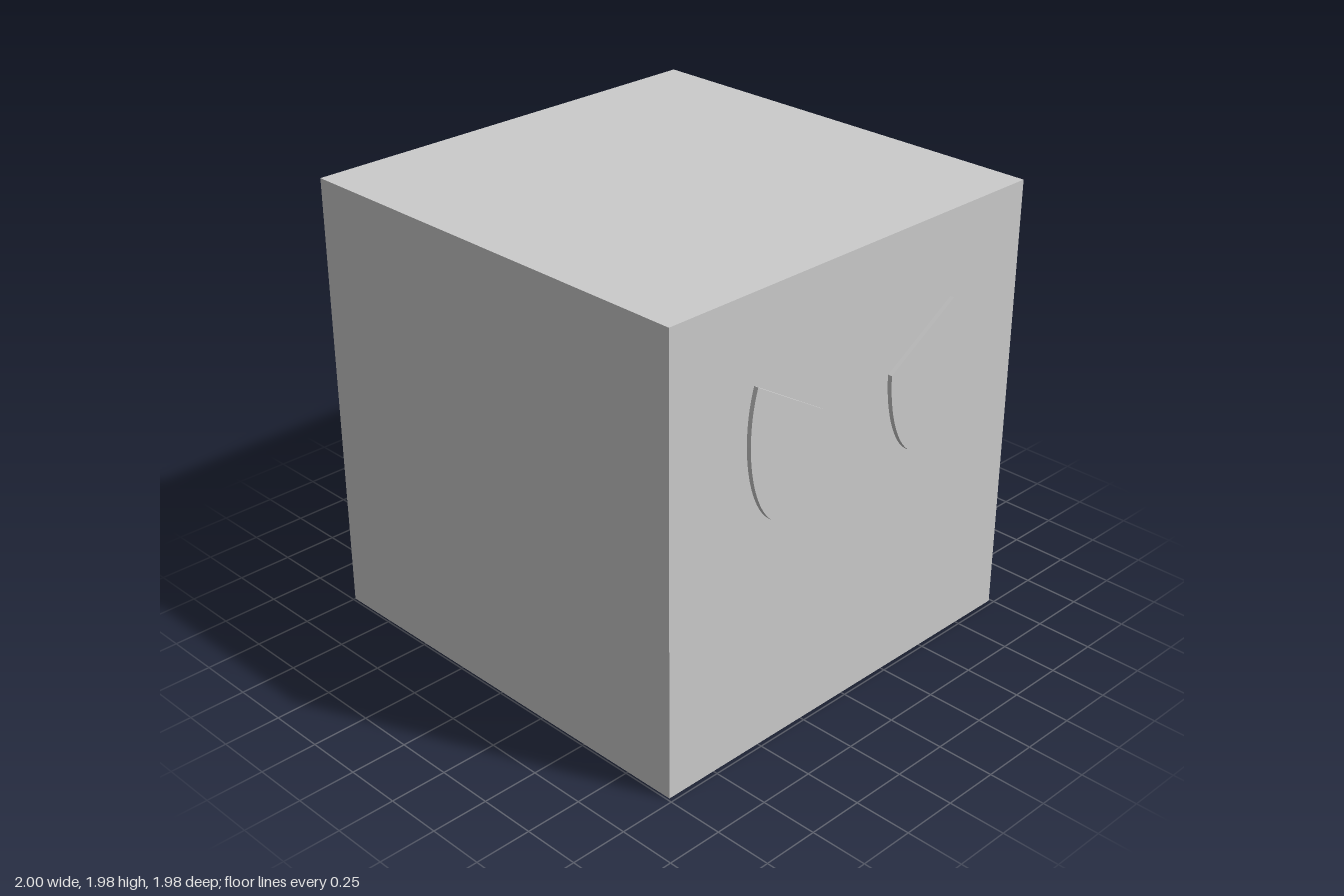
import * as THREE from 'three';
import { toCreasedNormals } from 'three/addons/utils/BufferGeometryUtils.js';

const SIZE = 1.98;   // cube edge
const FACE_X = 0.98; // plane of the face carrying the eyes
const RELIEF = 0.02; // how far the eyes stand out
const EMBED = 0.01;  // how far they sink into the cube

// Half-ellipse eye with a slanted brow cut; side mirrors it across the face
function createEye(side, material) {
  const cut = THREE.MathUtils.degToRad(33.6);
  const start = side > 0 ? cut : Math.PI - cut;
  const end = side > 0 ? -Math.PI : 2 * Math.PI;
  const shape = new THREE.Shape();
  shape.absellipse(side * 0.396, 1.39, 0.198, 0.396, start, end, side > 0);
  shape.closePath();

  const extruded = new THREE.ExtrudeGeometry(shape, {
    depth: RELIEF + EMBED, bevelEnabled: false, curveSegments: 40,
  });
  const eye = new THREE.Mesh(toCreasedNormals(extruded, Math.PI / 6), material);
  eye.rotation.y = Math.PI / 2;
  eye.position.x = FACE_X - EMBED;
  eye.name = side > 0 ? 'backEye' : 'frontEye';
  return eye;
}

export function createModel() {
  const group = new THREE.Group();
  group.name = 'cubeHead';
  const material = new THREE.MeshStandardMaterial({ color: 0xcccccc });

  // Cube body
  const body = new THREE.Mesh(new THREE.BoxGeometry(SIZE, SIZE, SIZE), material);
  body.position.set(FACE_X - SIZE / 2, SIZE / 2, 0);
  body.name = 'body';
  group.add(body);

  // Mirrored pair of eyes
  for (const side of [-1, 1]) group.add(createEye(side, material));
  return group;
}
